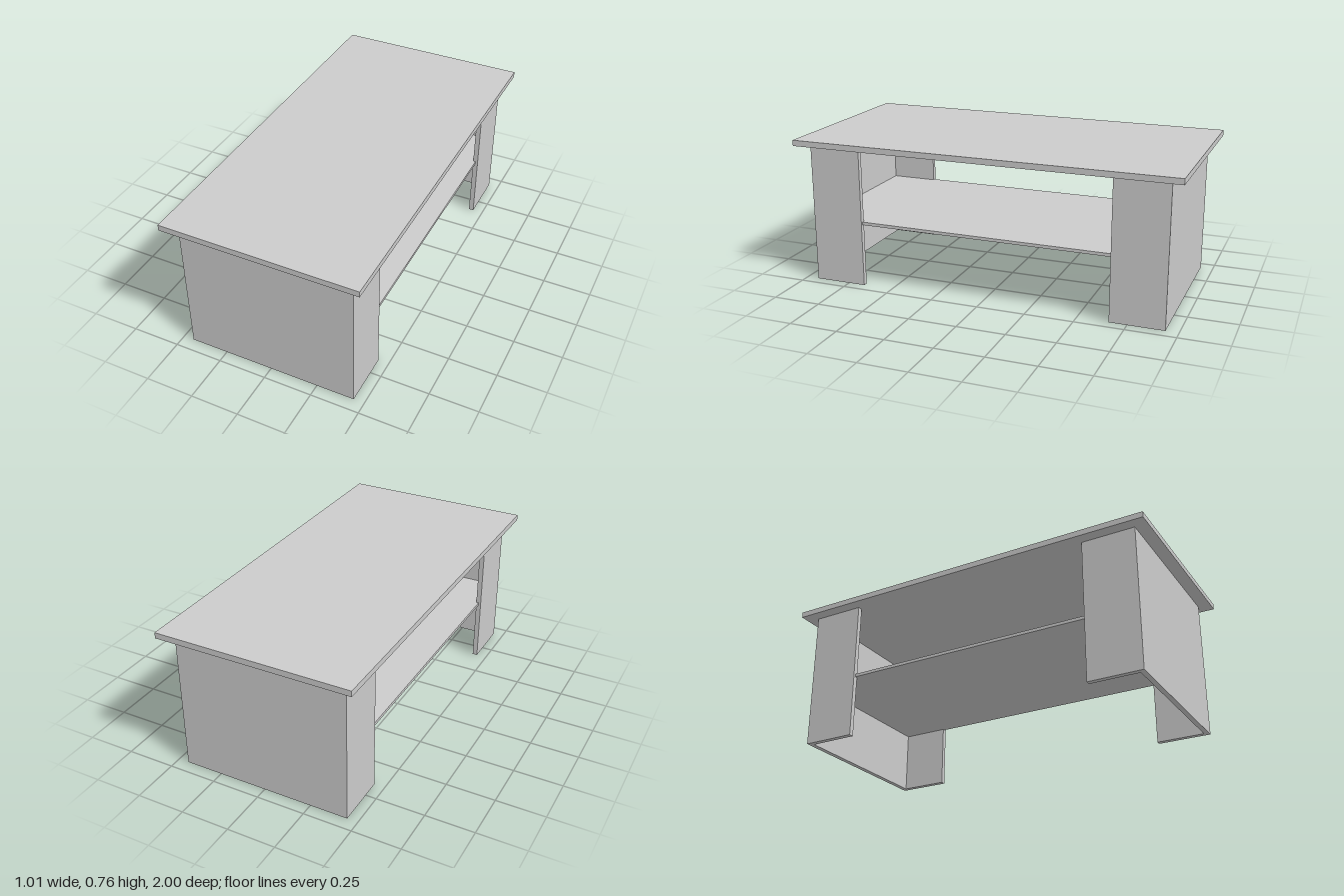
import * as THREE from 'three';

export function createModel() {
  const model = new THREE.Group();
  model.name = 'coffeeTable';
  const material = new THREE.MeshStandardMaterial({ color: 0xcccccc, flatShading: true });

  // Box board given by its extents on each axis
  function board(name, [x0, x1], [y0, y1], [z0, z1], parent = model) {
    const mesh = new THREE.Mesh(new THREE.BoxGeometry(x1 - x0, y1 - y0, z1 - z0), material);
    mesh.position.set((x0 + x1) / 2, (y0 + y1) / 2, (z0 + z1) / 2);
    mesh.name = name;
    parent.add(mesh);
  }

  board('tabletop', [-0.505, 0.505], [0.732, 0.762], [-1, 1]);

  // Shelf, let halfway into the leg boards
  board('shelf', [-0.432, 0.432], [0.327, 0.343], [-0.922, 0.922]);

  // U-shaped legs, open toward the middle
  const halfWidth = 0.445, inner = 0.66, outer = 0.935, thickness = 0.026, height = 0.732;
  const section = new THREE.Shape([
    [-halfWidth, -outer], [halfWidth, -outer], [halfWidth, -inner],
    [halfWidth - thickness, -inner], [halfWidth - thickness, -outer + thickness],
    [-halfWidth + thickness, -outer + thickness], [-halfWidth + thickness, -inner],
    [-halfWidth, -inner],
  ].map(([x, y]) => new THREE.Vector2(x, y)));
  const legGeometry = new THREE.ExtrudeGeometry(section, { depth: height, bevelEnabled: false });
  legGeometry.rotateX(-Math.PI / 2);

  for (const [name, turn] of [['frontLeg', 0], ['backLeg', Math.PI]]) {
    const leg = new THREE.Mesh(legGeometry, material);
    leg.rotation.y = turn;
    leg.name = name;
    model.add(leg);
  }

  return model;
}
